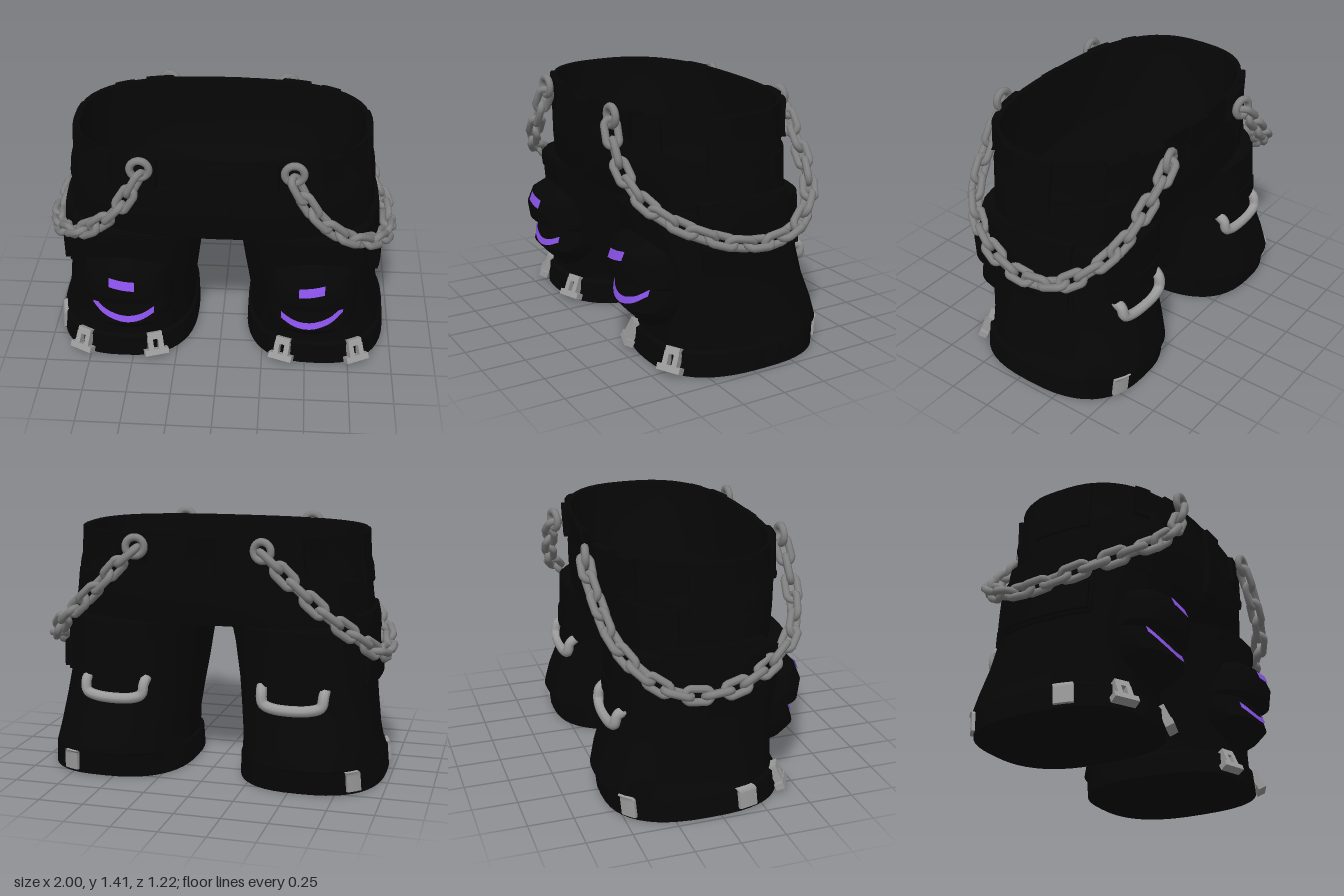
import * as THREE from 'three';
import { toCreasedNormals } from 'three/addons/utils/BufferGeometryUtils.js';

const mat = (name, color, side = THREE.FrontSide) => {
  const m = new THREE.MeshStandardMaterial({ color, side });
  m.name = name;
  return m;
};

// A section is [y, xMin, xMax, zBack, zFront]; outlines are rounded rectangles.
const POWER = 2 / 2.6;
const bulge = (v) => Math.sign(v) * Math.abs(v) ** POWER;

function onSection([y, x0, x1, z0, z1], a, s, out = 0) {
  const rx = (x1 - x0) / 2 + out, rz = (z1 - z0) / 2 + out;
  return new THREE.Vector3(s * (x0 + x1) / 2 + rx * bulge(Math.cos(a)), y, (z0 + z1) / 2 + rz * bulge(Math.sin(a)));
}

function sectionAt(sections, y) {
  let i = 0;
  while (i < sections.length - 2 && sections[i + 1][0] < y) i++;
  const a = sections[i], b = sections[i + 1];
  const t = (y - a[0]) / (b[0] - a[0]);
  return a.map((v, k) => v + (b[k] - v) * t);
}

// Surface from rows of points
function skin(rows) {
  const n = rows[0].length, pos = [], idx = [];
  rows.forEach((r) => r.forEach((p) => pos.push(p.x, p.y, p.z)));
  for (let i = 0; i < rows.length - 1; i++) {
    for (let j = 0; j < n - 1; j++) {
      const a = i * n + j, b = a + n;
      idx.push(a, b, a + 1, b, b + 1, a + 1);
    }
  }
  const g = new THREE.BufferGeometry();
  g.setAttribute('position', new THREE.Float32BufferAttribute(pos, 3));
  g.setIndex(idx);
  return toCreasedNormals(g, 0.6);
}

const loft = (sections, s = 1, n = 48) =>
  skin(sections.map((c) => Array.from({ length: n + 1 }, (_, j) => onSection(c, (j % n) / n * Math.PI * 2, s))));

// Raised panel wrapped onto a lofted body between two angles and two heights
function panel(sections, s, a0, a1, y0, y1, out) {
  if (s < 0) [a0, a1] = [Math.PI - a1, Math.PI - a0];
  const steps = [0, 0.03, 0.15, 0.3, 0.45, 0.6, 0.75, 0.87, 0.97, 1];
  const edge = (t) => t === 0 || t === 1;
  return skin(steps.map((v) => steps.map((u) =>
    onSection(sectionAt(sections, y0 + (y1 - y0) * v), a0 + (a1 - a0) * u, s, edge(u) || edge(v) ? -0.012 : out))));
}

const PELVIS = [[0.88, -0.87, 0.87, -0.47, 0.48], [1.0, -0.85, 0.85, -0.48, 0.5], [1.18, -0.83, 0.83, -0.485, 0.51],
  [1.2, -0.82, 0.82, -0.48, 0.5], [1.37, -0.81, 0.81, -0.49, 0.5]];
const LEG = [[0, 0.15, 0.97, -0.55, 0.43], [0.125, 0.155, 0.96, -0.56, 0.42], [0.14, 0.17, 0.945, -0.585, 0.4],
  [0.25, 0.17, 0.92, -0.56, 0.4], [0.4, 0.15, 0.9, -0.505, 0.41], [0.55, 0.13, 0.88, -0.475, 0.45],
  [0.75, 0.1, 0.88, -0.47, 0.47], [0.88, 0.07, 0.87, -0.47, 0.48], [0.95, 0, 0.855, -0.47, 0.48]];
// Knee pad: a lower lump, a groove, then the upper cap
const KNEE = [[0.2, 0.42, 0.62, 0.15, 0.42], [0.27, 0.33, 0.72, 0.1, 0.495], [0.335, 0.28, 0.76, 0.08, 0.553],
  [0.4, 0.26, 0.78, 0.08, 0.53], [0.465, 0.26, 0.78, 0.08, 0.505], [0.485, 0.26, 0.78, 0.08, 0.575],
  [0.58, 0.27, 0.77, 0.08, 0.592], [0.66, 0.29, 0.75, 0.08, 0.56], [0.73, 0.37, 0.67, 0.1, 0.46]];
const point = (y, x, z) => [y, x, x, z, z];

// Thin painted strip lying on the knee pad
function kneeStrip(s, pts, half) {
  const curve = new THREE.CatmullRomCurve3(pts.map(([x, y]) => new THREE.Vector3(x, y, 0)));
  return skin([-1, 0, 1].map((v) => curve.getPoints(20).map((p) => {
    const y = p.y + v * half, c = sectionAt(KNEE, y);
    const d = Math.abs((p.x - (c[1] + c[2]) / 2) / ((c[2] - c[1]) / 2));
    const z = (c[3] + c[4]) / 2 + (c[4] - c[3]) / 2 * (1 - Math.min(d, 1) ** 2.6) ** (1 / 2.6);
    return new THREE.Vector3(s * p.x, y + 0.003, z + 0.008);
  })));
}

export function createModel() {
  const cloth = mat('black cloth', 0x060606);
  const steel = mat('chain steel', 0x808080);
  const bright = mat('bright metal', 0x9c9c9c);
  const purple = mat('purple paint', 0x8a52ea, THREE.DoubleSide);
  const model = new THREE.Group();
  model.name = 'shorts';
  const add = (name, geometry, material, parent = model) => {
    const m = new THREE.Mesh(geometry, material);
    m.name = name;
    parent.add(m);
    return m;
  };

  // Hips with a hollow waist
  add('hips', loft([point(0.88, 0, 0), ...PELVIS, [1.365, -0.785, 0.785, -0.47, 0.48], [1.15, -0.75, 0.75, -0.44, 0.45],
    [0.98, -0.66, 0.66, -0.39, 0.39], [0.91, -0.45, 0.45, -0.27, 0.27], point(0.9, 0, 0)]), cloth);
  add('fly', panel(PELVIS, 1, 1.53, 1.61, 0.93, 1.36, 0.035), cloth);
  add('backLoop', panel(PELVIS, 1, -1.62, -1.52, 1.15, 1.37, 0.015), cloth);

  // Chain link: a ring stretched along x
  const link = new THREE.TorusGeometry(0.034, 0.021, 8, 18);
  const lp = link.attributes.position;
  for (let i = 0; i < lp.count; i++) lp.setX(i, lp.getX(i) + Math.sign(lp.getX(i)) * 0.038);
  const ring = new THREE.TorusGeometry(0.05, 0.021, 8, 24);

  for (const s of [1, -1]) {
    const side = new THREE.Group();
    side.name = s > 0 ? 'leftSide' : 'rightSide';
    model.add(side);
    const onLeg = (name, a0, a1, y0, y1, out, m = cloth) => add(name, panel(LEG, s, a0, a1, y0, y1, out), m, side);
    const onHip = (name, a0, a1, y0, y1, out) => add(name, panel(PELVIS, s, a0, a1, y0, y1, out), cloth, side);

    // Trouser leg, knee pad and cloth folds
    add('leg', loft([point(0.02, 0.56, -0.07), [0.02, 0.18, 0.94, -0.52, 0.4], ...LEG.slice(0, -1), point(0.89, 0.47, 0)], s), cloth, side);
    add('kneePad', loft([point(0.2, 0.52, 0.28), ...KNEE, point(0.73, 0.52, 0.28)], s), cloth, side);
    onLeg('thighFold', 0.7, 2.2, 0.8, 0.87, 0.012);
    onLeg('sidePocket', -0.55, 0.5, 0.53, 0.93, 0.015);
    onLeg('sidePocketBase', -0.5, 0.45, 0.55, 0.7, 0.04);
    onLeg('sidePocketFlap', -0.55, 0.5, 0.8, 0.94, 0.02);
    onLeg('backPocket', -2.1, -1.0, 0.58, 0.88, 0.012);
    onLeg('backPocketFlap', -2.0, -1.1, 0.56, 0.66, 0.02);

    // Belt loops and hip pockets
    onHip('sideLoop', -0.22, 0.3, 1.07, 1.37, 0.012);
    onHip('frontLoop', 0.75, 0.92, 1.18, 1.37, 0.02);
    onHip('rearLoop', -0.95, -0.75, 1.16, 1.37, 0.025);
    onHip('chainTabFront', 1.06, 1.28, 1.2, 1.37, 0.025);
    onHip('chainTabBack', -1.28, -1.06, 1.2, 1.37, 0.035);
    onHip('hipPocket', -1.0, -0.3, 0.9, 1.13, 0.012);

    // Painted knee marks
    add('kneeDash', kneeStrip(s, [[0.45, 0.61], [0.52, 0.617], [0.59, 0.63]], 0.024), purple, side);
    add('kneeArc', kneeStrip(s, [[0.355, 0.405], [0.43, 0.372], [0.52, 0.362], [0.62, 0.39], [0.66, 0.415], [0.7, 0.447]], 0.018),
      purple, side);

    // Hem buckles, splayed outward at the foot
    for (const a0 of [1.1, 1.93]) {
      const a = s > 0 ? a0 : Math.PI - a0, c = sectionAt(LEG, 0.03);
      const t = onSection(c, a + 0.01, s).sub(onSection(c, a - 0.01, s));
      const buckle = new THREE.Group();
      buckle.name = 'hemBuckle';
      buckle.position.copy(onSection(c, a, s, 0.035));
      buckle.rotation.set(-0.45, Math.atan2(t.z, -t.x), 0, 'YXZ');
      side.add(buckle);
      const bar = (name, w, h, d, x, y) =>
        add(name, new THREE.BoxGeometry(w, h, d), bright, buckle).position.set(x, y, 0);
      bar('buckleBase', 0.14, 0.035, 0.05, 0, 0.012);
      bar('buckleTop', 0.085, 0.04, 0.045, 0, 0.108);
      for (const k of [-1, 1]) bar('bucklePost', 0.03, 0.09, 0.045, k * 0.03, 0.055);
    }

    // Flat hem clips
    for (const a of s > 0 ? [-1.18] : [-0.9, 0.36]) onLeg('hemClip', a - 0.12, a + 0.12, 0.015, 0.135, 0.016, bright);

    // Rear pull handle
    const grip = [[0.33, 0.56, -0.45], [0.335, 0.53, -0.485], [0.345, 0.475, -0.495], [0.4, 0.45, -0.5],
      [0.6, 0.45, -0.5], [0.665, 0.475, -0.495], [0.675, 0.53, -0.48], [0.675, 0.55, -0.44]];
    add('rearHandle', new THREE.TubeGeometry(new THREE.CatmullRomCurve3(
      grip.map(([x, y, z]) => new THREE.Vector3(s * x, y, z))), 40, 0.03, 8), bright, side);

    // Hanging chain with a ring at each end
    const path = new THREE.CatmullRomCurve3([[0.4, 1.3, 0.54], [0.45, 1.21, 0.55], [0.53, 1.09, 0.55], [0.65, 0.97, 0.52],
      [0.78, 0.87, 0.43], [0.88, 0.79, 0.28], [0.94, 0.73, 0.1], [0.95, 0.71, -0.1], [0.92, 0.75, -0.28],
      [0.82, 0.86, -0.43], [0.68, 0.98, -0.51], [0.53, 1.12, -0.54], [0.42, 1.23, -0.555], [0.35, 1.29, -0.55]]
      .map(([x, y, z]) => new THREE.Vector3(s * x, y, z)));
    const chain = new THREE.Group();
    chain.name = 'chain';
    side.add(chain);
    const count = Math.round(path.getLength() / 0.108);
    for (let i = 0; i < count; i++) {
      const t = (i + 0.5) / count, m = add('chainLink', link, steel, chain);
      m.position.copy(path.getPointAt(t));
      m.quaternion.setFromUnitVectors(new THREE.Vector3(1, 0, 0), path.getTangentAt(t));
      m.rotateX(i % 2 ? 0.35 : -1.2);
    }
    add('frontRing', ring, steel, chain).position.set(s * 0.4, 1.335, 0.535);
    const rear = add('rearRing', ring, steel, chain);
    rear.position.set(s * 0.35, 1.305, -0.55);
    rear.rotation.y = s * 0.2;
  }
  return model;
}
